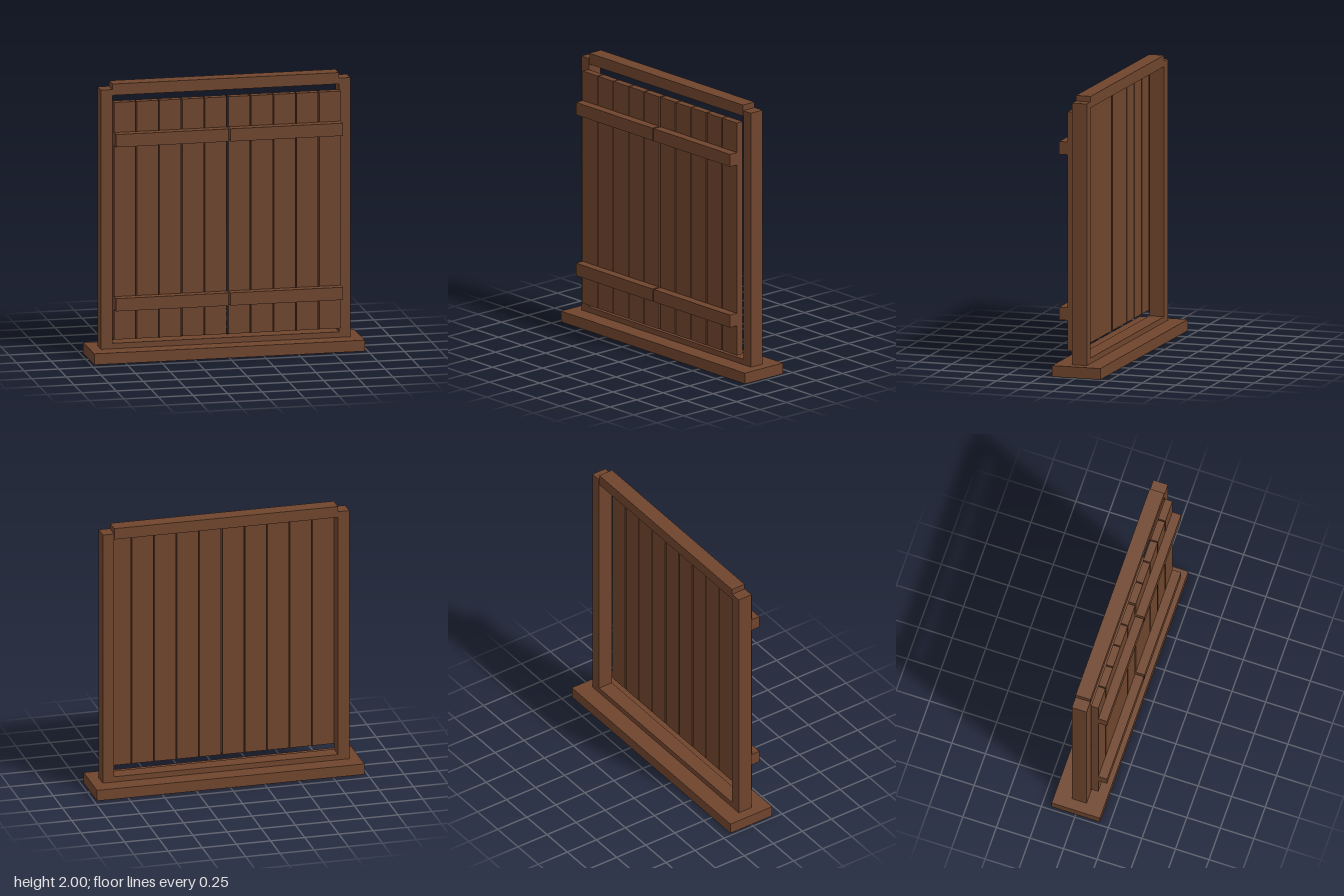
import * as THREE from 'three';

export function createModel() {
  const gate = new THREE.Group();
  gate.name = 'woodenGate';
  const wood = new THREE.MeshStandardMaterial({ color: 0x6f452d });
  wood.name = 'brown wood';

  // Box given by its limits on each axis
  const board = (parent, name, [x0, x1], [y0, y1], [z0, z1]) => {
    const mesh = new THREE.Mesh(new THREE.BoxGeometry(x1 - x0, y1 - y0, z1 - z0), wood);
    mesh.position.set((x0 + x1) / 2, (y0 + y1) / 2, (z0 + z1) / 2);
    mesh.name = name;
    parent.add(mesh);
  };

  // Fixed frame
  const frameZ = [-0.055, 0.055];
  board(gate, 'basePlinth', [-0.978, 0.978], [0, 0.08], [-0.18, 0.18]);
  board(gate, 'sill', [-0.82, 0.82], [0.08, 0.12], frameZ);
  board(gate, 'lintel', [-0.818, 0.818], [1.918, 2], frameZ);

  const plankWidth = 0.156, pitch = 0.1643, inner = 0.007, outer = 0.82;
  for (const [side, s] of [['left', 1], ['right', -1]]) {
    const span = (a, b) => (s > 0 ? [a, b] : [-b, -a]);
    board(gate, side + 'Post', span(0.82, 0.902), [0.08, 1.96], frameZ);

    // Gate leaf: five planks held by two cross rails
    const leaf = new THREE.Group();
    leaf.name = side + 'Leaf';
    gate.add(leaf);
    for (let i = 0; i < 5; i++) {
      const x = inner + i * pitch;
      board(leaf, 'plank', span(x, x + plankWidth), [0.16, 1.88], [0.06, 0.115]);
    }
    board(leaf, 'lowerRail', span(inner, outer), [0.38, 0.472], [0.115, 0.18]);
    board(leaf, 'upperRail', span(inner, outer), [1.57, 1.662], [0.115, 0.18]);
  }
  return gate;
}
